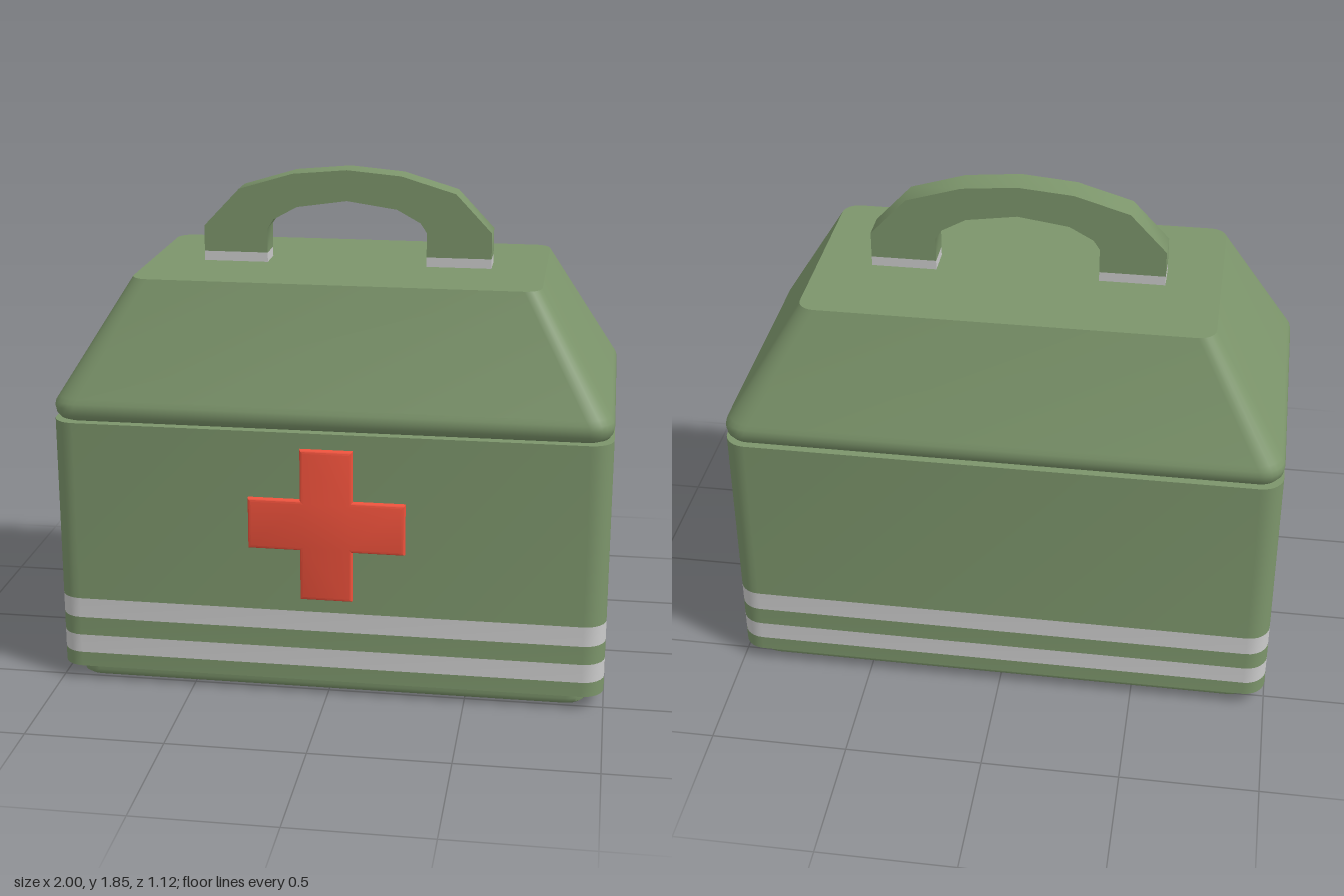
import * as THREE from 'three';
import { toCreasedNormals } from 'three/addons/utils/BufferGeometryUtils.js';

const green = new THREE.MeshStandardMaterial({ color: 0x7c956b });
const red = new THREE.MeshStandardMaterial({ color: 0xf0523c });
const grey = new THREE.MeshStandardMaterial({ color: 0xcccccc });

// Outline of a rounded rectangle in the xz plane, counter-clockwise from above
function roundedRing([y, hx, hz, r], steps = 6) {
  const points = [];
  const corners = [[1, 1], [-1, 1], [-1, -1], [1, -1]];
  corners.forEach(([sx, sz], q) => {
    for (let i = 0; i <= steps; i++) {
      const a = (q + i / steps) * Math.PI / 2;
      points.push([sx * (hx - r) + r * Math.cos(a), y, -sz * (hz - r) - r * Math.sin(a)]);
    }
  });
  return points;
}

// Skin through rounded rectangles [y, halfWidth, halfDepth, cornerRadius], bottom to top
function loft(sections, capBottom = true, capTop = true) {
  const rings = sections.map((s) => roundedRing(s));
  const n = rings[0].length;
  const pos = [];
  const tri = (a, b, c) => pos.push(...a, ...b, ...c);
  for (let i = 0; i < rings.length - 1; i++) {
    for (let j = 0; j < n; j++) {
      const k = (j + 1) % n;
      tri(rings[i][j], rings[i][k], rings[i + 1][k]);
      tri(rings[i][j], rings[i + 1][k], rings[i + 1][j]);
    }
  }
  const bottom = rings[0], top = rings[rings.length - 1];
  for (let j = 0; j < n; j++) {
    const k = (j + 1) % n;
    if (capBottom) tri([0, bottom[0][1], 0], bottom[k], bottom[j]);
    if (capTop) tri([0, top[0][1], 0], top[j], top[k]);
  }
  const geometry = new THREE.BufferGeometry();
  geometry.setAttribute('position', new THREE.Float32BufferAttribute(pos, 3));
  return toCreasedNormals(geometry, 0.7);
}

export function createModel() {
  const model = new THREE.Group();
  const add = (name, geometry, material, x = 0, y = 0, z = 0) => {
    const mesh = new THREE.Mesh(geometry, material);
    mesh.name = name;
    mesh.position.set(x, y, z);
    model.add(mesh);
  };
  const cz = -0.01; // the case sits slightly back to make room for the cross

  // Recessed base with a rounded lower edge
  add('base', loft([
    [0, 0.905, 0.485, 0.05], [0.005, 0.922, 0.502, 0.06],
    [0.016, 0.936, 0.516, 0.07], [0.03, 0.94, 0.52, 0.075], [0.055, 0.94, 0.52, 0.075],
  ]), green, 0, 0, cz);

  // Body walls in bands: green with two grey stripes
  const levels = [0.055, 0.11, 0.18, 0.25, 0.325, 1.0];
  for (let i = 0; i < 5; i++) {
    const stripe = i % 2 === 1;
    const sections = [[levels[i], 1, 0.55, 0.08], [levels[i + 1], 1, 0.55, 0.08]];
    add(stripe ? 'stripe' : 'bodyBand', loft(sections, i === 0, i === 4),
      stripe ? grey : green, 0, 0, cz);
  }

  // Tapered lid with a rounded lower rim
  add('lid', loft([
    [1.0, 0.965, 0.515, 0.06], [1.008, 0.982, 0.532, 0.07], [1.025, 0.995, 0.545, 0.08],
    [1.05, 1, 0.55, 0.085], [1.068, 0.996, 0.547, 0.085], [1.085, 0.986, 0.54, 0.085],
    [1.5, 0.73, 0.4, 0.06],
  ]), green, 0, 0, cz);

  // Arched handle
  const outer = [[0.532, 1.535], [0.532, 1.63], [0.4, 1.77], [0.2, 1.83], [0, 1.848]];
  const inner = [[0, 1.735], [0.185, 1.708], [0.272, 1.66], [0.295, 1.625], [0.295, 1.535]];
  const mirror = (list) => list.filter(([x]) => x > 0).reverse().map(([x, y]) => [-x, y]);
  const outline = [...outer, ...mirror(outer), ...mirror(inner), ...inner];
  const handleShape = new THREE.Shape(outline.map(([x, y]) => new THREE.Vector2(x, y)));
  const handle = new THREE.ExtrudeGeometry(handleShape, { depth: 0.11, bevelEnabled: false });
  add('handle', toCreasedNormals(handle, 0.9), green, 0, 0, cz - 0.055);

  // Grey handle feet
  for (const side of [-1, 1]) {
    add('handleFoot', new THREE.BoxGeometry(0.237, 0.036, 0.11), grey, side * 0.4135, 1.517, cz);
  }

  // Softly bevelled red cross on the front
  const bevel = 0.012;
  const a = 0.095 - bevel, b = 0.283 - bevel;
  const crossShape = new THREE.Shape([
    [a, -b], [a, -a], [b, -a], [b, a], [a, a], [a, b],
    [-a, b], [-a, a], [-b, a], [-b, -a], [-a, -a], [-a, -b],
  ].map(([x, y]) => new THREE.Vector2(x, y)));
  const cross = new THREE.ExtrudeGeometry(crossShape, {
    depth: 0.03, bevelThickness: bevel, bevelSize: bevel, bevelSegments: 3,
  });
  add('cross', toCreasedNormals(cross, 0.7), red, 0, 0.66, 0.56 - 0.03 - bevel);

  return model;
}
